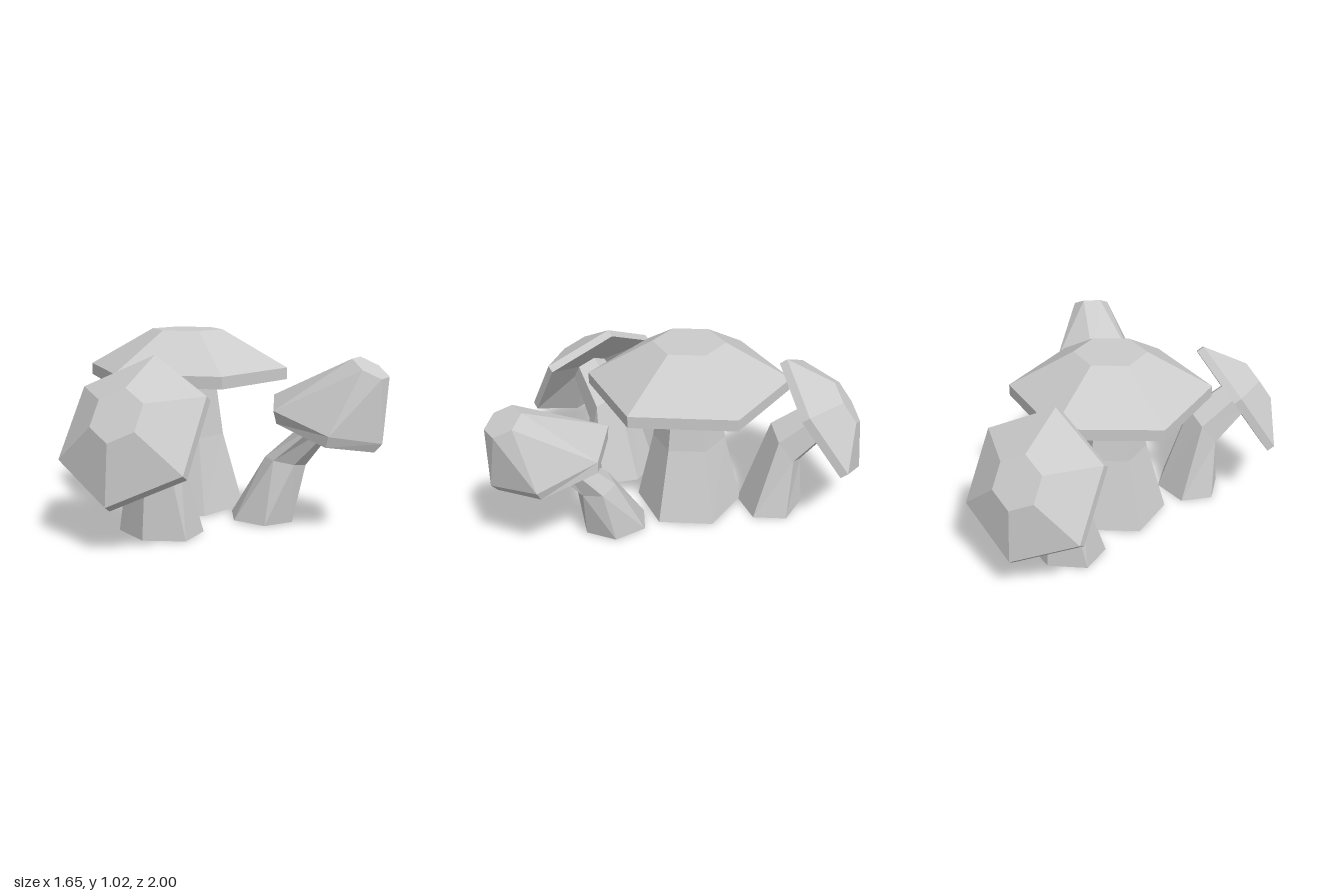
import * as THREE from 'three';

const V = (x, y, z) => new THREE.Vector3(x, y, z);
const material = new THREE.MeshStandardMaterial({ color: 0xcccccc, flatShading: true });

// Six corners around centre c, from two neighbouring corner offsets a and b
function ring(c, a, b) {
  const d = b.clone().sub(a);
  return [a, b, d, a.clone().negate(), b.clone().negate(), d.clone().negate()]
    .map((v) => v.clone().add(c));
}

// Hexagon leaning by tilt toward heading (a unit x/z direction)
function hexRing(c, heading, tilt, radius, squash = 1) {
  const [hx, hz] = heading;
  const r = radius * squash;
  const a = V(hx * Math.cos(tilt) * r, -Math.sin(tilt) * r, hz * Math.cos(tilt) * r);
  const side = V(-hz, 0, hx).multiplyScalar(radius * Math.sin(Math.PI / 3));
  return ring(c, a, a.clone().multiplyScalar(0.5).add(side));
}

// Closed faceted solid through a stack of rings, bottom to top
function loft(name, rings) {
  const p = [];
  const tri = (...vs) => vs.forEach((v) => p.push(v.x, v.y, v.z));
  for (let i = 0; i + 1 < rings.length; i++) {
    const lo = rings[i], up = rings[i + 1];
    for (let k = 0; k < 6; k++) {
      const n = (k + 1) % 6;
      tri(lo[k], up[k], lo[n]);
      tri(lo[n], up[k], up[n]);
    }
  }
  const first = rings[0], last = rings[rings.length - 1];
  for (let k = 1; k < 5; k++) {
    tri(first[0], first[k], first[k + 1]);
    tri(last[0], last[k + 1], last[k]);
  }
  const geometry = new THREE.BufferGeometry();
  geometry.setAttribute('position', new THREE.Float32BufferAttribute(p, 3));
  geometry.computeVertexNormals();
  const mesh = new THREE.Mesh(geometry, material);
  mesh.name = name;
  return mesh;
}

function mushroom(name, stemRings, capRings) {
  const group = new THREE.Group();
  group.name = name;
  group.add(loft('stem', stemRings), loft('cap', capRings));
  return group;
}

// Hollow underside, rim and flat crown of a regular cap; the first ring meets the stem
function capRings(c, heading, tilt, scale) {
  const up = V(heading[0] * Math.sin(tilt), Math.cos(tilt), heading[1] * Math.sin(tilt));
  return [[0.075, 0.152], [0, 0.57], [0.065, 0.57], [0.273, 0.203]].map(([h, r]) =>
    hexRing(c.clone().addScaledVector(up, h * scale), heading, tilt, r * scale));
}

// Smaller mushroom with a bent stem, leaning toward heading
function leaningMushroom(name, x, z, heading) {
  const at = (out, y) => V(x + heading[0] * out, y, z + heading[1] * out);
  const cap = capRings(at(0.248, 0.57), heading, 0.975, 0.72);
  return mushroom(name, [
    hexRing(at(0, 0.003), heading, 0, 0.231, 0.83),
    hexRing(at(0.077, 0.413), heading, 0.92, 0.148),
    cap[0],
  ], cap);
}

export function createModel() {
  const model = new THREE.Group();
  model.name = 'mushroomCluster';

  // Upright centre mushroom
  const front = [0, 1];
  const centreCap = capRings(V(0, 0.754, 0), front, 0, 1);
  model.add(mushroom('centreMushroom', [
    hexRing(V(0, 0.01, 0), front, 0, 0.335, 0.925),
    hexRing(V(0, 0.43, 0), front, 0, 0.21),
    centreCap[0],
  ], centreCap));

  // Two matching leaning mushrooms
  model.add(leaningMushroom('backMushroom', 0, -0.485, [0, -1]));
  model.add(leaningMushroom('frontRightMushroom', -0.292, 0.463, [-0.731, 0.682]));

  // Small mushroom with a thin stem and a tall, skewed cap
  const smallNeck = ring(V(0.543, 0.615, 0.709), V(0.07, -0.012, 0.02), V(0.02, -0.018, 0.075));
  model.add(mushroom('frontLeftMushroom', [
    ring(V(0.3, 0.01, 0.405), V(0.172, 0, -0.025), V(0.116, 0, 0.15)),
    ring(V(0.4, 0.337, 0.49), V(0.095, -0.018, 0.055), V(0, 0, 0.11)),
    smallNeck,
  ], [
    smallNeck,
    ring(V(0.53, 0.54, 0.68), V(0.268, -0.04, 0.01), V(0.14, -0.08, 0.27)),
    ring(V(0.532, 0.598, 0.69), V(0.291, -0.05, 0.013), V(0.168, -0.092, 0.283)),
    ring(V(0.676, 0.876, 0.877), V(0.09, -0.045, 0.03), V(0.005, -0.047, 0.098)),
  ]));

  return model;
}
